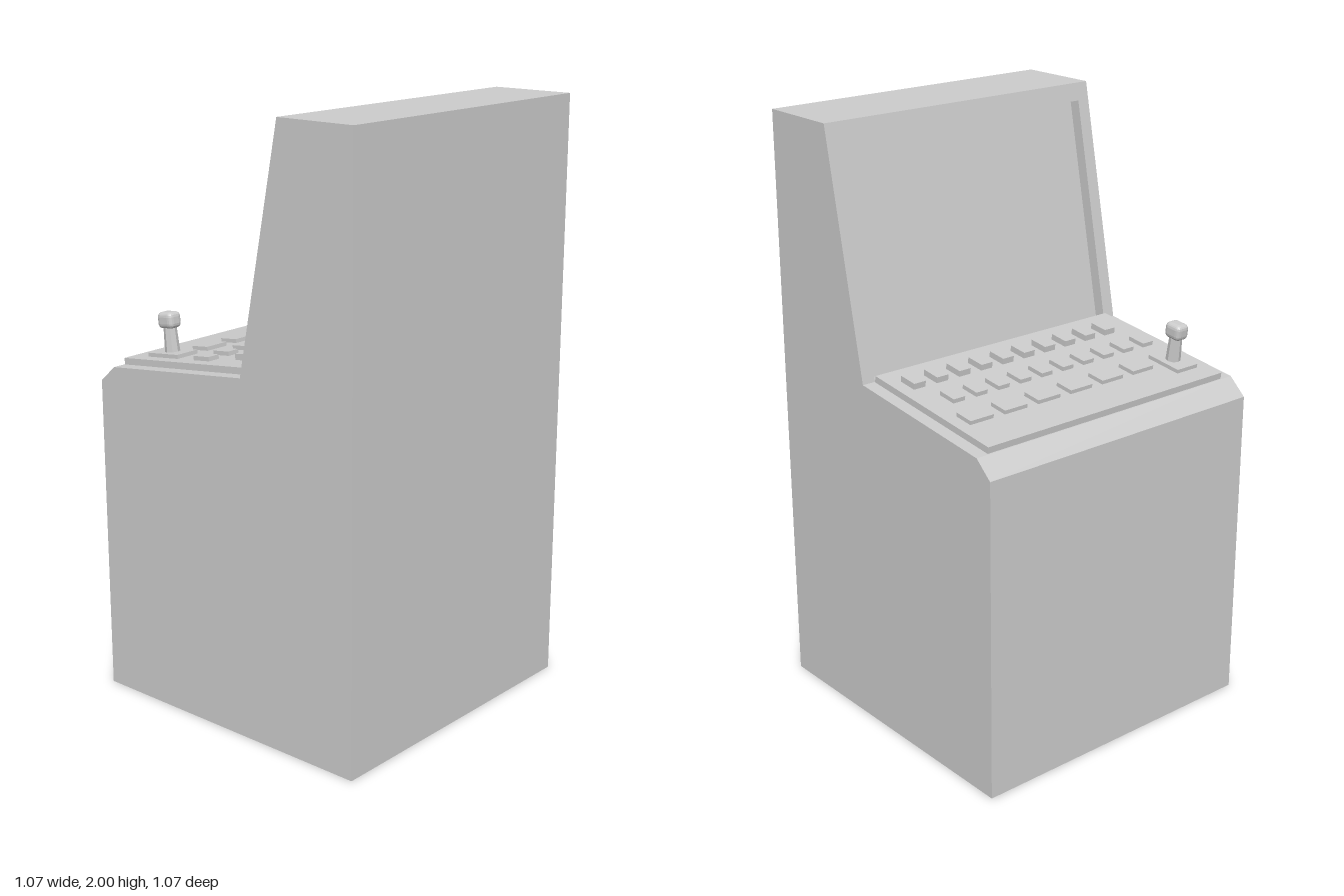
import * as THREE from 'three';
import { RoundedBoxGeometry } from 'three/addons/geometries/RoundedBoxGeometry.js';

const HALF = 0.537;    // half width of the cabinet
const INNER = 0.492;   // half width of the screen opening and control panel
const RECESS = 0.04;   // depth of the screen recess
const HINGE = { y: 1.2, z: 0.09 }; // where the screen face meets the panel
const TOP = { y: 2, z: 0.25 };     // upper edge of the screen face
const PANEL_TILT = -0.115;
const PANEL_THICK = 0.022;

export function createModel() {
  const model = new THREE.Group();
  const material = new THREE.MeshStandardMaterial({ color: 0xcccccc, flatShading: true });

  function add(parent, name, geometry, x = 0, y = 0, z = 0) {
    const mesh = new THREE.Mesh(geometry, material);
    mesh.name = name;
    mesh.position.set(x, y, z);
    parent.add(mesh);
    return mesh;
  }

  const tilt = Math.atan2(TOP.z - HINGE.z, TOP.y - HINGE.y);
  const faceLength = Math.hypot(TOP.z - HINGE.z, TOP.y - HINGE.y);
  const inZ = RECESS * Math.cos(tilt);
  const inY = -RECESS * Math.sin(tilt);

  // Cabinet: side profile (z, y) extruded across x, set back behind the screen
  const profile = new THREE.Shape([
    [-0.537, 0], [0.537, 0], [0.537, 2],
    [TOP.z, TOP.y], [TOP.z + inZ, TOP.y + inY],
    [HINGE.z + inZ, HINGE.y + inY], [HINGE.z, HINGE.y],
    [-0.475, 1.135], [-0.537, 1.08],
  ].map(([z, y]) => new THREE.Vector2(z, y)));
  const body = new THREE.ExtrudeGeometry(profile, { depth: HALF * 2, bevelEnabled: false });
  body.rotateY(-Math.PI / 2).translate(HALF, 0, 0);
  add(model, 'cabinet', body);

  // Frame around the recessed screen
  const frame = new THREE.Shape();
  frame.moveTo(-HALF, 0).lineTo(HALF, 0).lineTo(HALF, faceLength).lineTo(-HALF, faceLength);
  const opening = new THREE.Path();
  opening.moveTo(-INNER, 0.008).lineTo(-INNER, faceLength - 0.06)
    .lineTo(INNER, faceLength - 0.06).lineTo(INNER, 0.008);
  frame.holes.push(opening);
  const frameMesh = add(model, 'screenFrame',
    new THREE.ExtrudeGeometry(frame, { depth: RECESS, bevelEnabled: false }), 0, HINGE.y, HINGE.z);
  frameMesh.rotation.x = tilt;

  // Sloping control panel; everything on it is placed in its tilted frame
  const panel = new THREE.Group();
  panel.name = 'controlPanel';
  panel.position.set(0, HINGE.y, HINGE.z);
  panel.rotation.x = PANEL_TILT;
  model.add(panel);
  add(panel, 'panelPlate', new THREE.BoxGeometry(INNER * 2, PANEL_THICK, 0.562),
    0, PANEL_THICK / 2, -0.284);
  const localZ = (z) => (z - HINGE.z + 0.004) / Math.cos(PANEL_TILT);

  // Rows of keys
  const rows = [
    { name: 'backKey', count: 10, x: -0.381, pitch: 0.0895, z: -0.024, width: 0.045, height: 0.02 },
    { name: 'middleKey', count: 10, x: -0.427, pitch: 0.0895, z: -0.163, width: 0.045, height: 0.014 },
    { name: 'frontKey', count: 6, x: -0.27, pitch: 0.1345, z: -0.303, width: 0.09, height: 0.013 },
  ];
  for (const row of rows) {
    const key = new THREE.BoxGeometry(row.width, row.height, 0.068);
    for (let i = 0; i < row.count; i++) {
      add(panel, row.name, key, row.x + i * row.pitch, PANEL_THICK + row.height / 2, localZ(row.z));
    }
  }

  // Joystick: base plate, shaft and rounded knob
  const stick = new THREE.Group();
  stick.name = 'joystick';
  stick.position.set(-0.405, PANEL_THICK, localZ(-0.337));
  panel.add(stick);
  add(stick, 'joystickBase', new THREE.BoxGeometry(0.09, 0.013, 0.136), 0, 0.0065, 0);
  add(stick, 'joystickShaft', new THREE.CylinderGeometry(0.021, 0.025, 0.09, 8), 0, 0.055, 0);
  add(stick, 'joystickKnob', new RoundedBoxGeometry(0.054, 0.054, 0.066, 2, 0.016), 0, 0.117, 0);

  return model;
}
